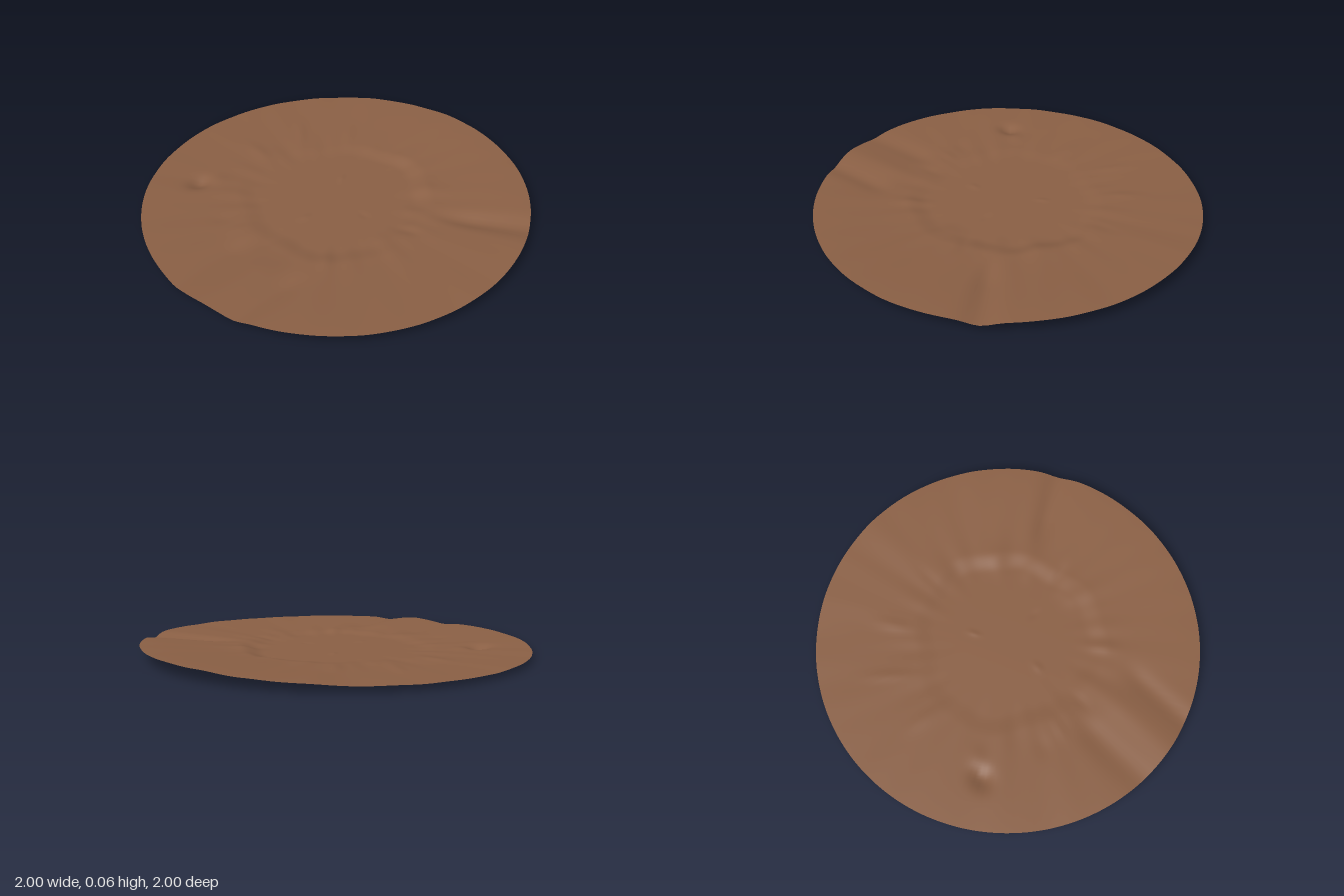
import * as THREE from 'three';
import { mergeVertices } from 'three/addons/utils/BufferGeometryUtils.js';

// Height of the outer edge every 15 degrees, from +x round towards +z
const EDGE = [0.068, 0.07, 0.07, 0.07, 0.064, 0.061, 0.057, 0.053, 0.05, 0.05, 0.05, 0.047,
  0.046, 0.044, 0.042, 0.04, 0.035, 0.032, 0.031, 0.031, 0.032, 0.036, 0.046, 0.056];

// Pits, mounds and gullies: x, z, half length, half width, direction in degrees, height
const FEATURES = [
  [-0.42, -0.61, 0.06, 0.045, 20, -0.026],
  [-0.34, -0.56, 0.06, 0.04, 40, 0.006],
  [0.0, -0.6, 0.1, 0.035, 95, 0.006],
  [0.3, -0.58, 0.12, 0.025, -50, 0.005],
  [0.47, -0.36, 0.1, 0.03, -35, 0.007],
  [0.53, -0.05, 0.1, 0.03, 0, -0.004],
  [0.37, 0.27, 0.08, 0.05, 35, 0.007],
  [0.2, 0.36, 0.06, 0.04, 60, 0.005],
  [-0.06, 0.42, 0.08, 0.06, 0, 0.008],
  [0.06, 0.46, 0.06, 0.025, 70, -0.006],
  [-0.38, 0.31, 0.08, 0.03, 140, 0.006],
  [-0.5, 0.02, 0.07, 0.03, 0, -0.005],
  [-0.52, -0.16, 0.07, 0.025, 15, 0.005],
  [-0.53, -0.28, 0.06, 0.04, 30, -0.004],
  [-0.22, 0.0, 0.03, 0.02, 0, 0.003],
  [0.15, -0.1, 0.03, 0.015, -30, 0.003],
  [0.0, 0.2, 0.02, 0.03, 0, -0.002],
];

const gauss = (t) => Math.exp(-t * t);
const smooth = THREE.MathUtils.smoothstep;

function edgeHeight(angle) {
  const t = ((angle / (Math.PI * 2) + 1) % 1) * EDGE.length;
  const i = Math.floor(t), f = smooth(t - i, 0, 1);
  return THREE.MathUtils.lerp(EDGE[i % EDGE.length], EDGE[(i + 1) % EDGE.length], f);
}

function groundHeight(x, z) {
  const r = Math.hypot(x, z), a = Math.atan2(z, x);
  // Flat basin, a wavy rim step and a gentle rise to the edge
  const rim = 0.45 + 0.018 * Math.sin(3 * a + 1) + 0.012 * Math.sin(8 * a);
  const rise = 0.42 * smooth(r, rim - 0.05, rim + 0.06) + 0.58 * smooth(r, 0.45, 1.05);
  let y = 0.021 + (edgeHeight(a) - 0.021) * rise;

  // Radial erosion ripples, strongest on the rim
  const ripple = Math.sin(17 * a + 4 * r) + 0.7 * Math.sin(29 * a - 5 * r + 2) + 0.6 * Math.sin(11 * a + 1);
  y += ripple * (0.0012 * gauss((r - 0.52) / 0.12) + 0.0006 * smooth(r, 0.5, 0.8));

  // Two parallel troughs with a ridge between them on the -x side
  const west = smooth(-x, 0.5, 0.68);
  y += west * (-0.013 * gauss((z + 0.06) / 0.07) + 0.009 * gauss((z - 0.14) / 0.08)
    - 0.012 * gauss((z - 0.31) / 0.055));

  // Gully running out through the front edge
  const along = (x - 0.18) * 0.5 + (z - 0.46) * 0.866;
  const across = (x - 0.18) * 0.866 - (z - 0.46) * 0.5;
  y -= 0.022 * smooth(along, -0.05, 0.25) * gauss((across - 0.04) / (0.04 + 0.06 * Math.max(along, 0)));

  for (const [fx, fz, length, width, degrees, height] of FEATURES) {
    const c = Math.cos(degrees * Math.PI / 180), s = Math.sin(degrees * Math.PI / 180);
    const u = (x - fx) * c + (z - fz) * s, v = (z - fz) * c - (x - fx) * s;
    y += height * gauss(u / length) * gauss(v / width);
  }
  return Math.max(y, 0);
}

export function createModel() {
  const group = new THREE.Group();
  group.name = 'craterGround';

  const soil = new THREE.MeshStandardMaterial({ color: 0x8b6045, side: THREE.DoubleSide });
  soil.name = 'brown soil';

  // A round sheet, lifted by the height rule
  let sheet = new THREE.RingGeometry(0, 1, 180, 64);
  sheet.rotateX(-Math.PI / 2);
  sheet.deleteAttribute('uv');
  sheet.deleteAttribute('normal');
  sheet = mergeVertices(sheet, 1e-5);
  const p = sheet.attributes.position;
  for (let i = 0; i < p.count; i++) p.setY(i, groundHeight(p.getX(i), p.getZ(i)));
  sheet.computeVertexNormals();

  const ground = new THREE.Mesh(sheet, soil);
  ground.name = 'ground';
  group.add(ground);
  return group;
}
